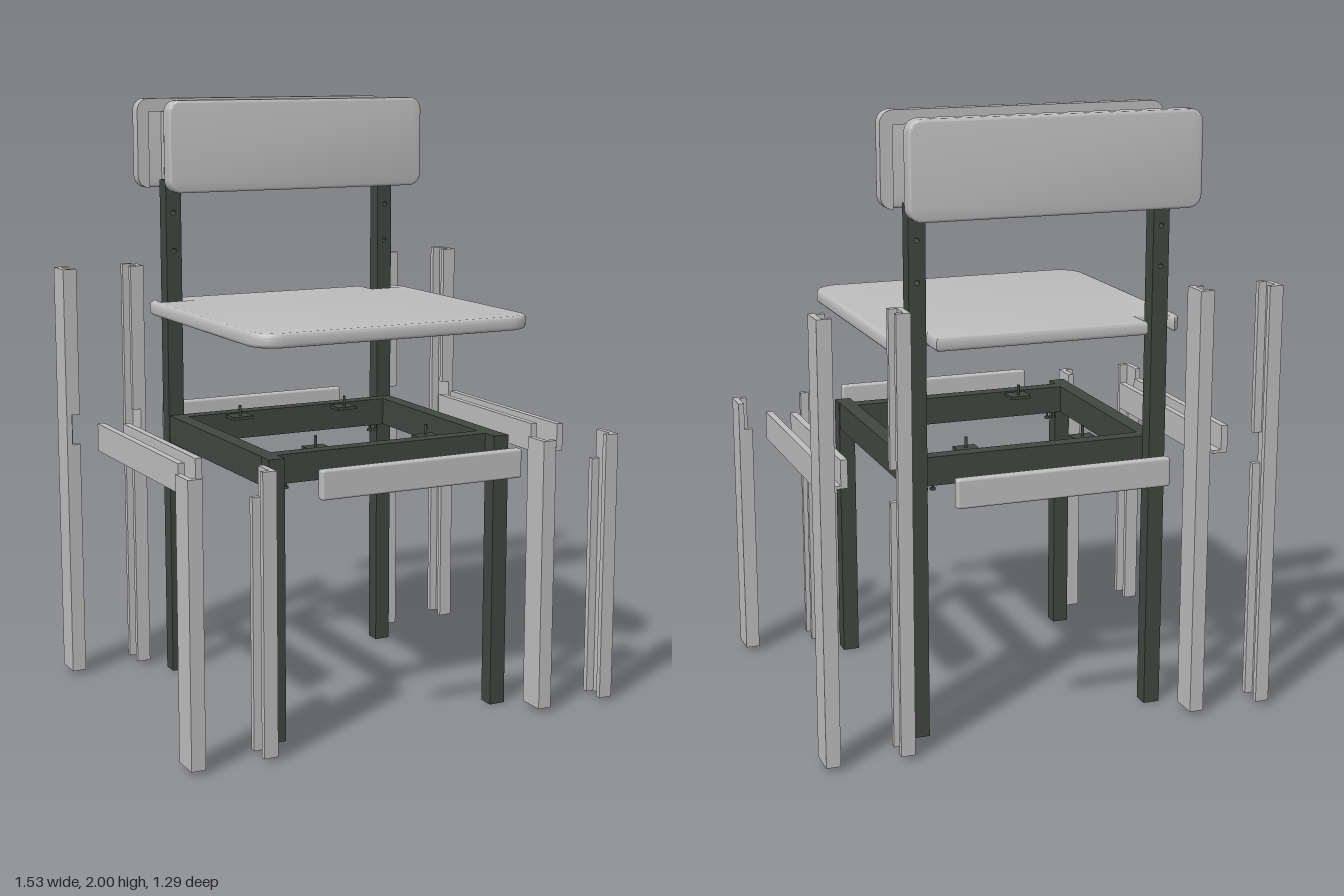
import * as THREE from 'three';
import { toCreasedNormals } from 'three/addons/utils/BufferGeometryUtils.js';
import { RoundedBoxGeometry } from 'three/addons/geometries/RoundedBoxGeometry.js';

const panelGrey = new THREE.MeshStandardMaterial({ color: 0xbcbcbc });
panelGrey.name = 'panelGrey';
const frameDark = new THREE.MeshStandardMaterial({ color: 0x404640 });
frameDark.name = 'frameDark';

function add(parent, name, geometry, material) {
  const mesh = new THREE.Mesh(geometry, material);
  mesh.name = name;
  parent.add(mesh);
  return mesh;
}

// box given by its limits on each axis, in any order
function box(parent, name, material, xa, xb, ya, yb, za, zb) {
  const g = new THREE.BoxGeometry(Math.abs(xb - xa), Math.abs(yb - ya), Math.abs(zb - za));
  g.translate((xa + xb) / 2, (ya + yb) / 2, (za + zb) / 2);
  return add(parent, name, g, material);
}

function arc(cx, cy, r, from, to, n) {
  return Array.from({ length: n + 1 }, (_, i) => {
    const a = from + (to - from) * i / n;
    return new THREE.Vector2(cx + r * Math.cos(a), cy + r * Math.sin(a));
  });
}

// extrusion from z = 0 to z = thickness, edges rounded inside the outline
function slab(shape, thickness, bevel) {
  const g = new THREE.ExtrudeGeometry(shape, {
    depth: thickness - 2 * bevel, bevelEnabled: bevel > 0, bevelSize: bevel,
    bevelThickness: bevel, bevelOffset: -bevel, bevelSegments: 3, curveSegments: 12,
  });
  g.translate(0, 0, bevel);
  return toCreasedNormals(g, 0.6);
}

// square post with optional screw holes running front to back
function post(parent, name, x, z, height, holes) {
  const s = new THREE.Shape();
  const h = 0.0275;
  s.moveTo(-h, 0).lineTo(h, 0).lineTo(h, height).lineTo(-h, height).closePath();
  for (const y of holes) {
    s.holes.push(new THREE.Path().absarc(0, y, 0.008, 0, Math.PI * 2, true));
  }
  add(parent, name, slab(s, 2 * h, 0), frameDark).position.set(x, 0, z - h);
}

function buildFrame() {
  const frame = new THREE.Group();
  frame.name = 'frame';
  for (const s of [-1, 1]) {
    post(frame, 'frontPost', s * 0.407, 0.407, 0.92, []);
    post(frame, 'backPost', s * 0.407, -0.403, 1.73, [1.49, 1.62]);
    box(frame, 'sideRail', frameDark, s * 0.38, s * 0.432, 0.826, 0.92, -0.378, 0.382);
    box(frame, 'crossRail', frameDark, -0.38, 0.38, 0.826, 0.92, s * 0.33, s * 0.38);
    for (const t of [-1, 1]) {
      // seat fixing tab and pin
      box(frame, 'seatTab', frameDark, s * 0.165, s * 0.24, 0.905, 0.915, t * 0.265, t * 0.33);
      const pin = new THREE.CylinderGeometry(0.005, 0.005, 0.045, 10);
      add(frame, 'seatPin', pin, frameDark).position.set(s * 0.203, 0.928, t * 0.293);
      // bolts below the corner
      for (const x of [0.335, 0.36]) {
        const shank = new THREE.CylinderGeometry(0.004, 0.004, 0.024, 10);
        add(frame, 'bolt', shank, frameDark).position.set(s * x, 0.816, t * 0.346);
        const head = new THREE.CylinderGeometry(0.009, 0.009, 0.008, 10);
        add(frame, 'boltHead', head, frameDark).position.set(s * x, 0.806, t * 0.346);
      }
    }
  }
  return frame;
}

// C-shaped half sleeve: spine at xSpine, open at xOpen, rail notch in the inward flange
function legCover(parent, name, xSpine, xOpen, zOut, zIn, top) {
  const g = new THREE.Group();
  g.name = name;
  const t = 0.019;
  const bottom = 0.015;
  const xs = xSpine + Math.sign(xOpen - xSpine) * t;
  const tz = Math.sign(zIn - zOut) * t;
  box(g, 'spine', panelGrey, xSpine, xs, bottom, top, zOut, zIn);
  box(g, 'outerFlange', panelGrey, xs, xOpen, bottom, top, zOut, zOut + tz);
  box(g, 'innerFlange', panelGrey, xs, xOpen, bottom, 0.826, zIn, zIn - tz);
  if (top > 1) box(g, 'upperFlange', panelGrey, xs, xOpen, 0.93, top, zIn, zIn - tz);
  parent.add(g);
}

function buildCovers() {
  const covers = new THREE.Group();
  covers.name = 'covers';
  for (const s of [-1, 1]) {
    legCover(covers, 'frontLegOuterCover', s * 0.767, s * 0.72, 0.583, 0.487, 0.92);
    legCover(covers, 'frontLegInnerCover', s * 0.477, s * 0.524, 0.583, 0.487, 0.92);
    legCover(covers, 'backLegOuterCover', s * 0.767, s * 0.72, -0.583, -0.487, 1.432);
    legCover(covers, 'backLegInnerCover', s * 0.477, s * 0.524, -0.583, -0.487, 1.432);

    // upward-open channel for the side rail, shorter on its inner half
    const channel = new THREE.Group();
    channel.name = 'sideRailCover';
    box(channel, 'outerWall', panelGrey, s * 0.703, s * 0.68, 0.826, 0.92, -0.356, 0.352);
    box(channel, 'outerFloor', panelGrey, s * 0.68, s * 0.65, 0.826, 0.836, -0.356, 0.352);
    box(channel, 'innerFloor', panelGrey, s * 0.65, s * 0.627, 0.826, 0.836, -0.313, 0.309);
    box(channel, 'innerWall', panelGrey, s * 0.627, s * 0.604, 0.826, 0.92, -0.313, 0.309);
    covers.add(channel);

    const board = new RoundedBoxGeometry(0.71, 0.094, 0.031, 3, 0.008);
    add(covers, s > 0 ? 'frontRailCover' : 'backRailCover', board, panelGrey)
      .position.set(0, 0.873, s * 0.629);
  }
  return covers;
}

// seat outline with rounded corners and a notch around each back post
function buildSeat() {
  const q = Math.PI / 2;
  const r = 0.09;
  const tip = Math.acos(0.05 / r);
  const half = [
    new THREE.Vector2(0.355, 0.457),
    new THREE.Vector2(0.355, 0.36),
    new THREE.Vector2(0.455, 0.36),
    ...arc(0.405, 0.367, r, tip, 0, 3),
    ...arc(0.405, -0.405, r, 0, -q, 10),
  ];
  const other = half.map((p) => new THREE.Vector2(-p.x, p.y)).reverse();
  const shape = new THREE.Shape([...half, ...other].reverse());
  const g = slab(shape, 0.046, 0.012);
  g.rotateX(-Math.PI / 2);
  const seat = new THREE.Mesh(g, panelGrey);
  seat.name = 'seat';
  seat.position.y = 1.274;
  return seat;
}

// rounded backrest board; the inner layer has slots for the posts, open below
function backPanel(name) {
  const panel = new THREE.Group();
  panel.name = name;
  const q = Math.PI / 2;
  const [x, y0, y1, r] = [0.475, 1.695, 2.0, 0.041];
  const outline = [
    ...arc(x - r, y0 + r, -r, q, 2 * q, 6),
    ...arc(x - r, y1 - r, r, 0, q, 6),
    ...arc(r - x, y1 - r, r, q, 2 * q, 6),
    ...arc(r - x, y0 + r, r, 2 * q, 3 * q, 6),
  ];
  const slot = (s) => [[0.433, y0], [0.433, 1.955], [0.379, 1.955], [0.379, y0]]
    .map(([a, b]) => new THREE.Vector2(s * a, b));
  const slotted = [...outline, ...slot(-1), ...slot(1).reverse()];
  add(panel, 'outerLayer', slab(new THREE.Shape(outline), 0.028, 0.009), panelGrey);
  const inner = add(panel, 'slottedLayer', slab(new THREE.Shape(slotted), 0.033, 0), panelGrey);
  inner.position.z = 0.018;
  return panel;
}

export function createModel() {
  const chair = new THREE.Group();
  chair.name = 'explodedChair';
  chair.add(buildFrame(), buildCovers(), buildSeat());

  const back = backPanel('rearBackrestPanel');
  back.position.z = -0.575;
  const front = backPanel('frontBackrestPanel');
  front.rotation.y = Math.PI;
  front.position.z = -0.234;
  chair.add(back, front);
  return chair;
}
